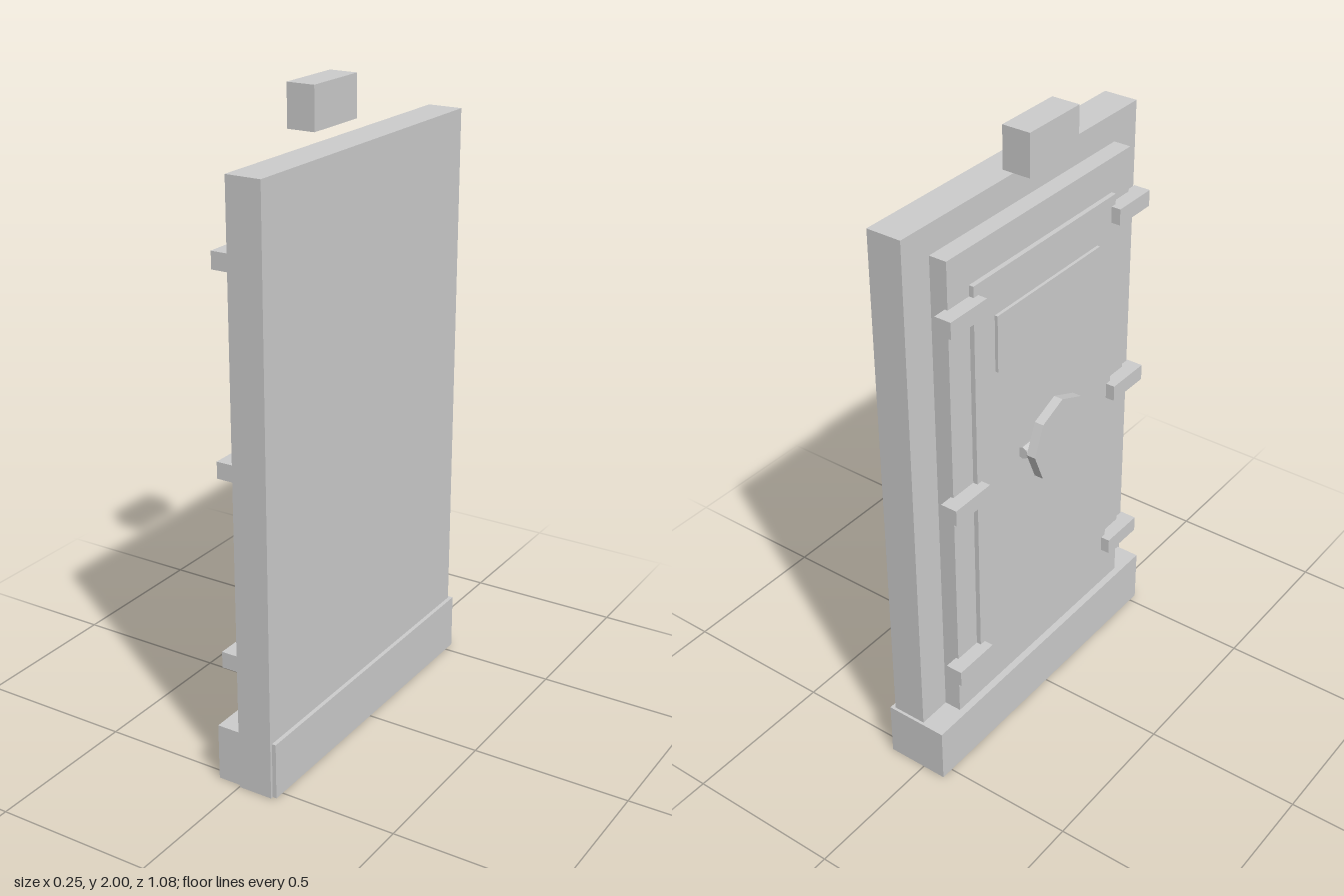
import * as THREE from 'three';

export function createModel() {
  const model = new THREE.Group();
  const grey = new THREE.MeshStandardMaterial({ color: 0xcccccc });
  grey.name = 'plain grey';

  // Box given by its extents on each axis
  function box(name, [x0, x1], [y0, y1], [z0, z1]) {
    const mesh = new THREE.Mesh(new THREE.BoxGeometry(x1 - x0, y1 - y0, z1 - z0), grey);
    mesh.position.set((x0 + x1) / 2, (y0 + y1) / 2, (z0 + z1) / 2);
    mesh.name = name;
    model.add(mesh);
  }

  // Wall slab and the threshold it stands in
  box('wallSlab', [0.001, 0.112], [0, 1.84], [-0.532, 0.541]);
  box('threshold', [-0.078, 0.125], [0, 0.18], [-0.541, 0.532]);

  // Layers of the door, all facing -x
  box('doorFrame', [-0.055, 0.001], [0.16, 1.75], [-0.423, 0.429]);
  box('doorPanel', [-0.07, -0.05], [0.3, 1.64], [-0.332, 0.338]);
  box('namePlate', [-0.08, -0.065], [1.33, 1.51], [-0.242, 0.248]);

  // Three clamps on each side
  for (const y of [0.365, 0.97, 1.58]) {
    box('clampRear', [-0.1, -0.046], [y - 0.026, y + 0.026], [-0.467, -0.312]);
    box('clampFront', [-0.1, -0.046], [y - 0.026, y + 0.026], [0.318, 0.473]);
  }

  // Lamp above the door
  box('lamp', [-0.09, 0], [1.87, 2], [-0.109, 0.115]);

  // Eight-sided hand wheel
  const wheelGeometry = new THREE.CylinderGeometry(0.135, 0.135, 0.03, 8).toNonIndexed();
  wheelGeometry.computeVertexNormals();
  const wheel = new THREE.Mesh(wheelGeometry, grey);
  wheel.rotation.z = Math.PI / 2;
  wheel.position.set(-0.112, 0.995, 0.002);
  wheel.name = 'handWheel';
  model.add(wheel);

  // Cross bar behind the wheel
  const barGeometry = new THREE.CylinderGeometry(0.02, 0.02, 0.267, 8).toNonIndexed();
  barGeometry.computeVertexNormals();
  const bar = new THREE.Mesh(barGeometry, grey);
  bar.rotation.x = Math.PI / 2;
  bar.position.set(-0.08, 0.995, 0.002);
  bar.name = 'wheelBar';
  model.add(bar);

  return model;
}
